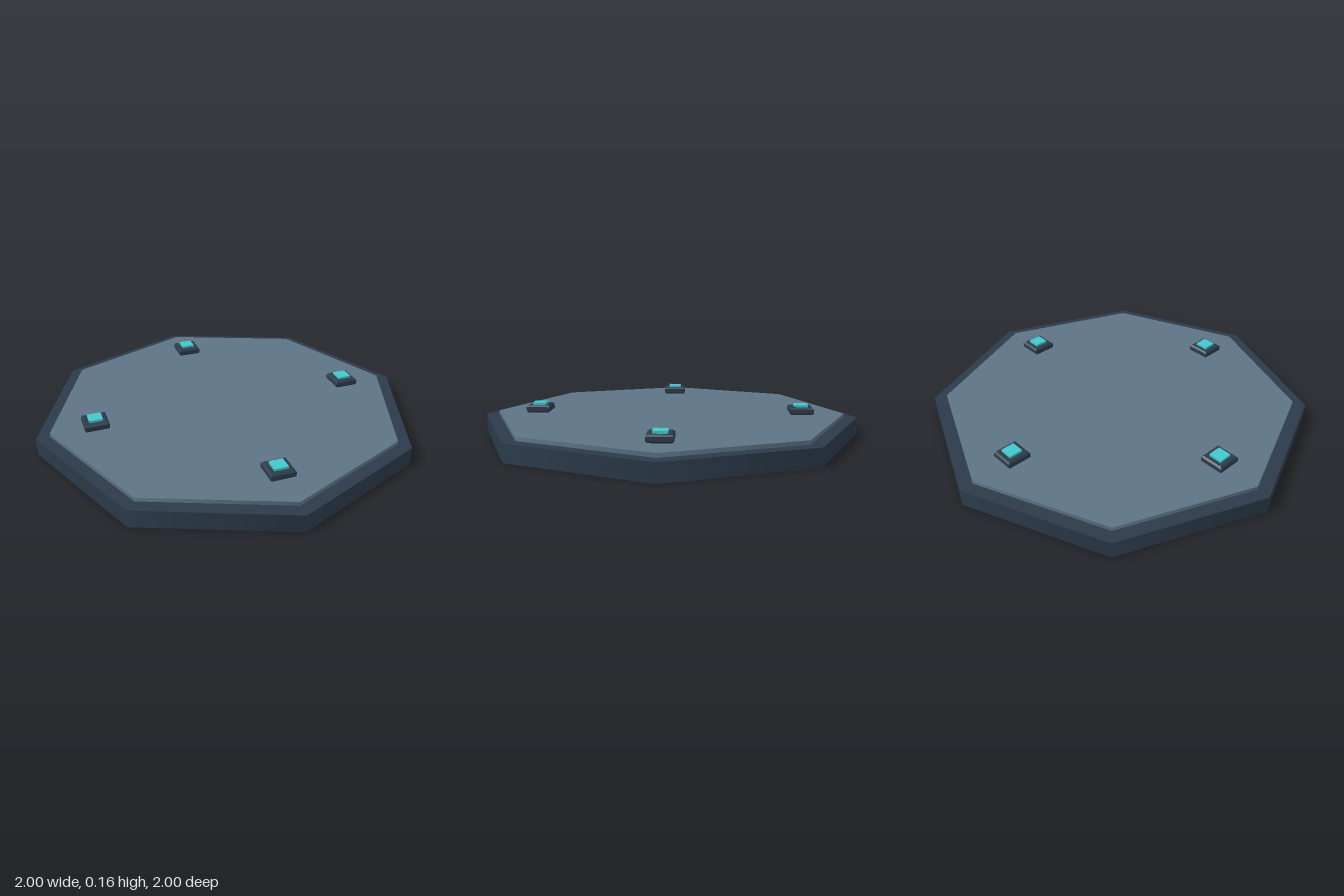
import * as THREE from 'three';

const paint = (color) => new THREE.MeshStandardMaterial({ color });

function addMesh(parent, name, geometry, material, x, y, z) {
  const mesh = new THREE.Mesh(geometry, material);
  mesh.name = name;
  mesh.position.set(x, y, z);
  parent.add(mesh);
  return mesh;
}

// Square block with chamfered top and bottom edges, standing on y = 0
function chamferedBlock(size, height, chamfer) {
  const h = size / 2 - chamfer;
  const square = new THREE.Shape([
    new THREE.Vector2(-h, -h), new THREE.Vector2(h, -h),
    new THREE.Vector2(h, h), new THREE.Vector2(-h, h),
  ]);
  const geometry = new THREE.ExtrudeGeometry(square, {
    depth: height - 2 * chamfer,
    bevelEnabled: true, bevelSegments: 1,
    bevelSize: chamfer, bevelThickness: chamfer,
  });
  geometry.translate(0, 0, chamfer);
  geometry.rotateX(-Math.PI / 2);
  return geometry;
}

export function createModel() {
  const pad = new THREE.Group();
  pad.name = 'landingPad';

  const dark = paint(0x2b3a4a);
  const slate = paint(0x5d7486);
  const cyan = paint(0x44c8cc);

  // Octagonal foundation and the slightly smaller deck on it
  addMesh(pad, 'foundation', new THREE.CylinderGeometry(1, 1, 0.09, 8), dark, 0, 0.045, 0);
  addMesh(pad, 'deck', new THREE.CylinderGeometry(0.93, 0.93, 0.02, 8), slate, 0, 0.1, 0);

  // Four marker lights around the deck
  const housing = chamferedBlock(0.124, 0.038, 0.008);
  const lens = new THREE.BoxGeometry(0.07, 0.014, 0.07);
  for (let i = 0; i < 4; i++) {
    const angle = (i * Math.PI) / 2;
    const light = new THREE.Group();
    light.name = `markerLight${i + 1}`;
    light.position.set(0.7 * Math.cos(angle), 0.11, 0.7 * Math.sin(angle));
    addMesh(light, 'lightHousing', housing, dark, 0, 0, 0);
    addMesh(light, 'lightLens', lens, cyan, 0, 0.043, 0);
    pad.add(light);
  }

  return pad;
}
